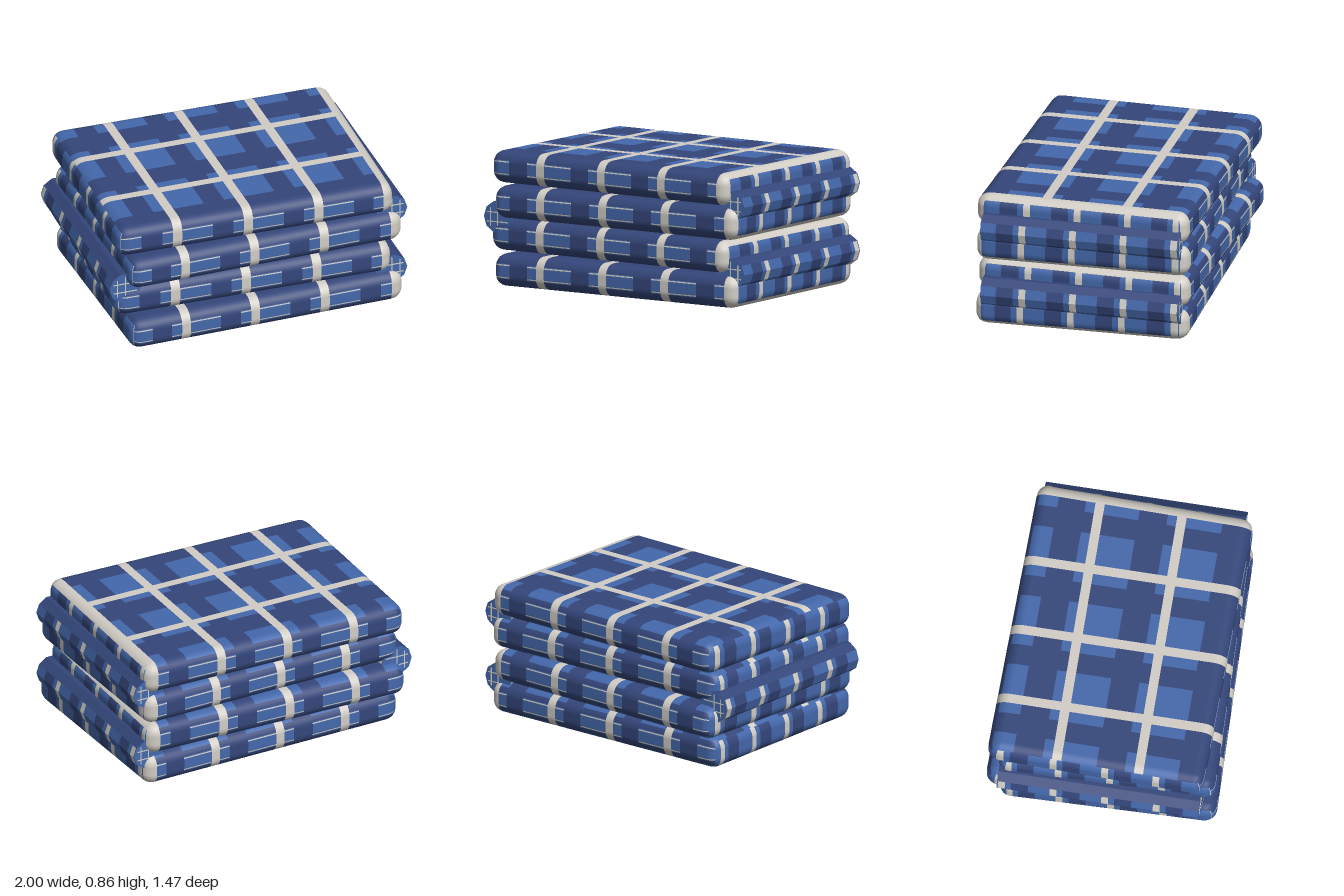
import * as THREE from 'three';

const named = (name, color) => { const m = new THREE.MeshStandardMaterial({ color }); m.name = name; return m; };
const materials = [named('navy', 0x34467a), named('blue', 0x4468ab), named('cream', 0xd2cec6)];
const NAVY = 0, BLUE = 1, CREAM = 2;

// half sizes and edge rounding of one folded layer
const HALF = [0.922, 0.104, 0.692], R = 0.078;

// collects coloured quads and turns them into one mesh with material groups
function patchwork(name) {
  const sets = materials.map(() => ({ p: [], n: [] }));
  const a = new THREE.Vector3(), b = new THREE.Vector3();
  return {
    // corners run around the quad; the winding is made to agree with the normals
    quad(color, pts, norms) {
      a.subVectors(pts[2], pts[0]); b.subVectors(pts[3], pts[1]);
      const order = a.cross(b).dot(norms[0]) > 0 ? [0, 1, 2, 0, 2, 3] : [0, 2, 1, 0, 3, 2];
      for (const i of order) {
        sets[color].p.push(...pts[i].toArray());
        sets[color].n.push(...norms[i].toArray());
      }
    },
    mesh() {
      const g = new THREE.BufferGeometry();
      let start = 0;
      sets.forEach((s, i) => { g.addGroup(start, s.p.length / 3, i); start += s.p.length / 3; });
      g.setAttribute('position', new THREE.Float32BufferAttribute(sets.flatMap(s => s.p), 3));
      g.setAttribute('normal', new THREE.Float32BufferAttribute(sets.flatMap(s => s.n), 3));
      const m = new THREE.Mesh(g, materials);
      m.name = name;
      return m;
    },
  };
}

// plaid stripes: cream line centres with a wide blue band behind each
const LINES_X = [-1.01, -0.54, -0.07, 0.40, 0.87], LINES_Z = [-0.79, -0.265, 0.26];
const within = (lines, v, lo, hi) => lines.some(c => v > c + lo && v < c + hi);
const creamX = x => within(LINES_X, x, -0.03, 0.03) || x > 0.84;
const blueX = x => within(LINES_X, x, -0.10, 0.235);
const topColor = (x, z) => creamX(x) || within(LINES_Z, z, -0.03, 0.03) ? CREAM
  : blueX(x) && within(LINES_Z, z, -0.09, 0.255) ? BLUE : NAVY;
const longSideColor = (x, y) => {
  if (creamX(x)) return CREAM;
  if (!blueX(x) || Math.abs(y) > 0.05) return NAVY;
  return Math.abs(y) > 0.036 && Math.abs(y) < 0.044 ? CREAM : BLUE;
};

// narrower stripes on the short sides and the folds
const LINES_END = [0.705, 0.375, 0.045, -0.285, -0.615];
const endColor = z => within(LINES_END, z, -0.022, 0.022) ? CREAM
  : within(LINES_END, z, 0.06, 0.17) ? NAVY : BLUE;

// grid positions along one axis: colour changes plus steps around the rounded edges
function cuts(half, extra) {
  const list = [half, half - R * 0.28, half - R * 0.6, half - R].flatMap(v => [v, -v]);
  list.push(...extra.filter(v => Math.abs(v) < half));
  return [...new Set(list.map(v => +v.toFixed(4)))].sort((p, q) => p - q);
}
const bands = (lines, offsets) => lines.flatMap(c => offsets.map(o => c + o));
const CUTS = [
  cuts(HALF[0], [...bands(LINES_X, [-0.10, -0.03, 0.03, 0.235])]),
  cuts(HALF[1], [-0.05, -0.044, -0.036, 0.036, 0.044, 0.05]),
  cuts(HALF[2], [...bands(LINES_Z, [-0.09, -0.03, 0.03, 0.255]), ...bands(LINES_END, [-0.022, 0.022, 0.06, 0.17])]),
];

// one rounded layer of cloth, its outline turned slightly by twist
function layer(name, x0, y0, z0, twist) {
  const work = patchwork(name);
  const place = (p) => {
    const core = p.map((v, i) => THREE.MathUtils.clamp(v, R - HALF[i], HALF[i] - R));
    const n = new THREE.Vector3(...p.map((v, i) => v - core[i])).normalize();
    const v = new THREE.Vector3(...core).addScaledVector(n, R);
    const dz = twist * v.x * (Math.abs(v.z) / HALF[2]) ** 4;
    const dx = -twist * v.z * (Math.abs(v.x) / HALF[0]) ** 4;
    return { v: v.add(new THREE.Vector3(dx, 0, dz)), n };
  };
  for (let axis = 0; axis < 3; axis++) {
    const u = (axis + 1) % 3, w = (axis + 2) % 3;
    for (const side of [-1, 1]) {
      for (let i = 0; i < CUTS[u].length - 1; i++) for (let j = 0; j < CUTS[w].length - 1; j++) {
        const at = (du, dw) => {
          const p = [0, 0, 0];
          p[axis] = side * HALF[axis];
          p[u] = du; p[w] = dw;
          return p;
        };
        const [ua, ub, wa, wb] = [CUTS[u][i], CUTS[u][i + 1], CUTS[w][j], CUTS[w][j + 1]];
        const m = at((ua + ub) / 2, (wa + wb) / 2);
        let color = axis === 1 ? topColor(m[0], m[2]) : longSideColor(m[0], m[1]);
        if (axis === 0) {
          // cream wraps the rims of the +x end
          const rim = Math.abs(m[1]) > HALF[1] - R * 0.28 || Math.abs(m[2]) > HALF[2] - R * 0.6;
          color = side > 0 && rim ? CREAM : endColor(m[2]);
        }
        const c = [at(ua, wa), at(ub, wa), at(ub, wb), at(ua, wb)].map(place);
        work.quad(color, c.map(k => k.v), c.map(k => k.n));
      }
    }
  }
  const mesh = work.mesh();
  mesh.position.set(x0, y0, z0);
  return mesh;
}

// faceted roll of cloth joining two layers at one end
function fold(name, side, x0, y0, rx, ry) {
  const group = new THREE.Group();
  group.name = name;
  const work = patchwork(name + 'Roll');
  const len = 0.645, sides = 10;
  const zs = [-len, ...bands(LINES_END, [-0.022, 0.022, 0.06, 0.17]).filter(z => Math.abs(z) < len), len].sort((p, q) => p - q);
  const point = (k, z) => {
    const t = k / sides * Math.PI * 2;
    return new THREE.Vector3(Math.cos(t) * rx, Math.sin(t) * ry, z);
  };
  for (let k = 0; k < sides; k++) {
    const n = point(k + 0.5, 0).normalize();
    for (let i = 0; i < zs.length - 1; i++) {
      const color = n.y > 0.7 ? NAVY : endColor((zs[i] + zs[i + 1]) / 2);
      work.quad(color, [point(k, zs[i]), point(k + 1, zs[i]), point(k + 1, zs[i + 1]), point(k, zs[i + 1])], [n, n, n, n]);
    }
  }
  group.add(work.mesh());
  for (const end of [-1, 1]) {
    // end cap with thin cream stripes
    const cap = new THREE.Mesh(new THREE.CircleGeometry(1, sides), materials[BLUE]);
    cap.name = 'foldEnd';
    cap.scale.set(rx, ry, 1);
    cap.position.z = end * len;
    if (end < 0) cap.rotation.y = Math.PI;
    group.add(cap);
    for (const [w, h, x, y] of [[0.16, 0.007, 0, -0.03], [0.16, 0.007, 0, 0.03], [0.007, 0.12, 0.055, 0], [0.007, 0.16, 0, 0]]) {
      const stripe = new THREE.Mesh(new THREE.BoxGeometry(w, h, 0.004), materials[CREAM]);
      stripe.name = 'foldEndStripe';
      stripe.position.set(side * x, y, end * len);
      group.add(stripe);
    }
  }
  group.position.set(x0, y0, 0);
  return group;
}

export function createModel() {
  const model = new THREE.Group();
  model.name = 'foldedBlanket';
  model.add(
    layer('bottomLayer', 0.025, 0.104, 0.024, -0.024),
    layer('lowerMiddleLayer', -0.02, 0.32, -0.017, 0.024),
    layer('upperMiddleLayer', 0.022, 0.537, 0.018, -0.022),
    layer('topLayer', -0.01, 0.752, -0.01, 0.022),
    fold('lowerFold', 1, 0.893, 0.22, 0.105, 0.1),
    fold('middleFold', -1, -0.893, 0.43, 0.107, 0.104),
    fold('upperFold', 1, 0.893, 0.652, 0.105, 0.098),
  );
  return model;
}
